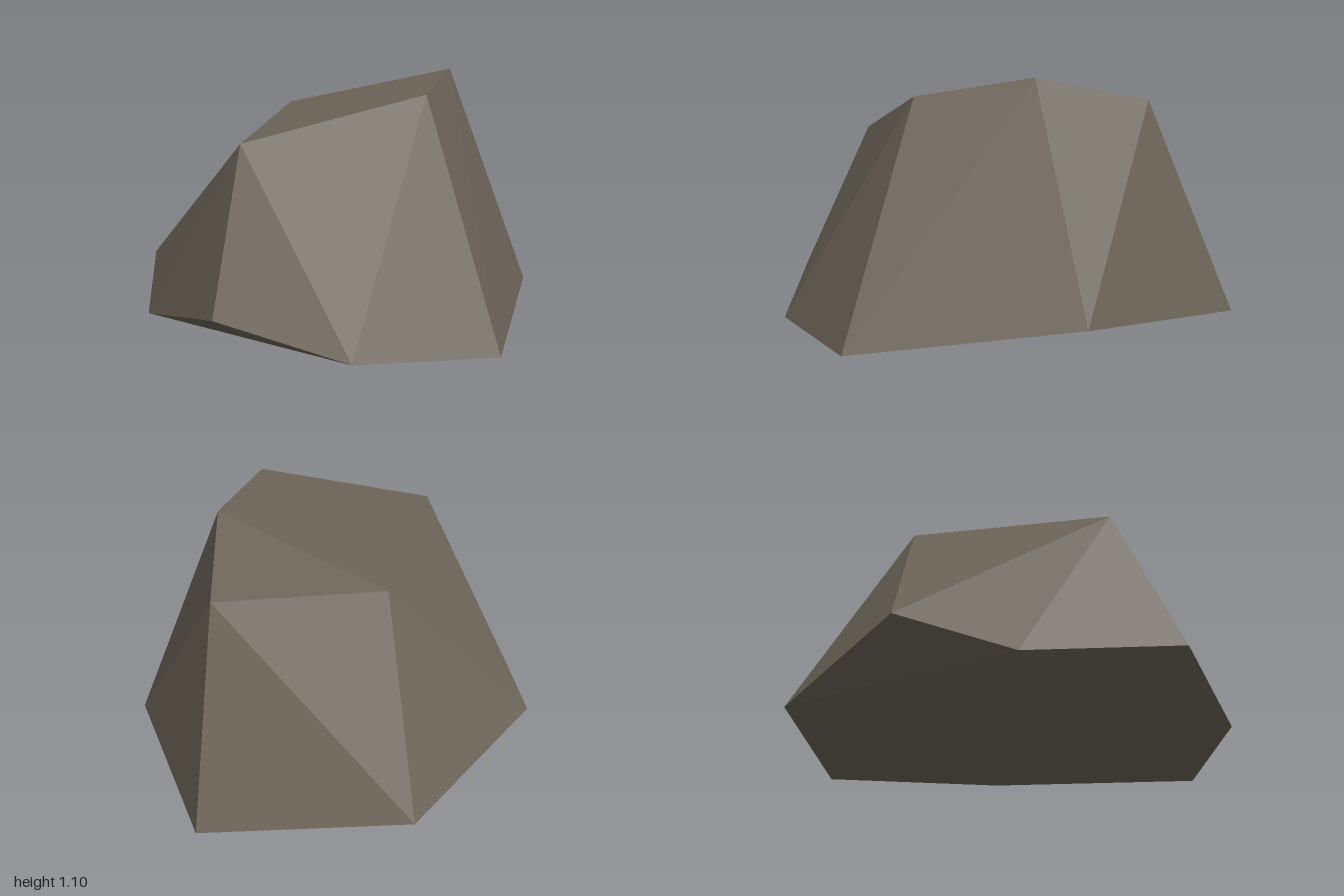
import * as THREE from 'three';
import { ConvexGeometry } from 'three/addons/geometries/ConvexGeometry.js';

export function createModel() {
  const group = new THREE.Group();
  group.name = 'boulder';

  const stone = new THREE.MeshStandardMaterial({ color: 0x6b6458, flatShading: true });
  stone.name = 'grey brown stone';

  // wide lower ring of corners
  const base = [
    [-0.18, 0.00, 0.92], [0.68, 0.11, 0.43], [0.995, 0.08, -0.32], [0.31, 0.09, -0.92],
    [-0.46, 0.23, -0.88], [-0.79, 0.05, -0.53], [-1.0, 0.17, 0.13], [-0.73, 0.03, 0.62],
  ];
  // narrower, sloping crown
  const crown = [
    [-0.12, 1.02, 0.48], [0.33, 1.10, 0.25], [0.68, 1.00, -0.11],
    [0.05, 0.93, -0.48], [-0.72, 0.83, 0.00],
  ];

  // faceted rock wrapped around both rings
  const corners = [...base, ...crown].map((p) => new THREE.Vector3(...p));
  const rock = new THREE.Mesh(new ConvexGeometry(corners), stone);
  rock.name = 'rock';
  group.add(rock);
  return group;
}
